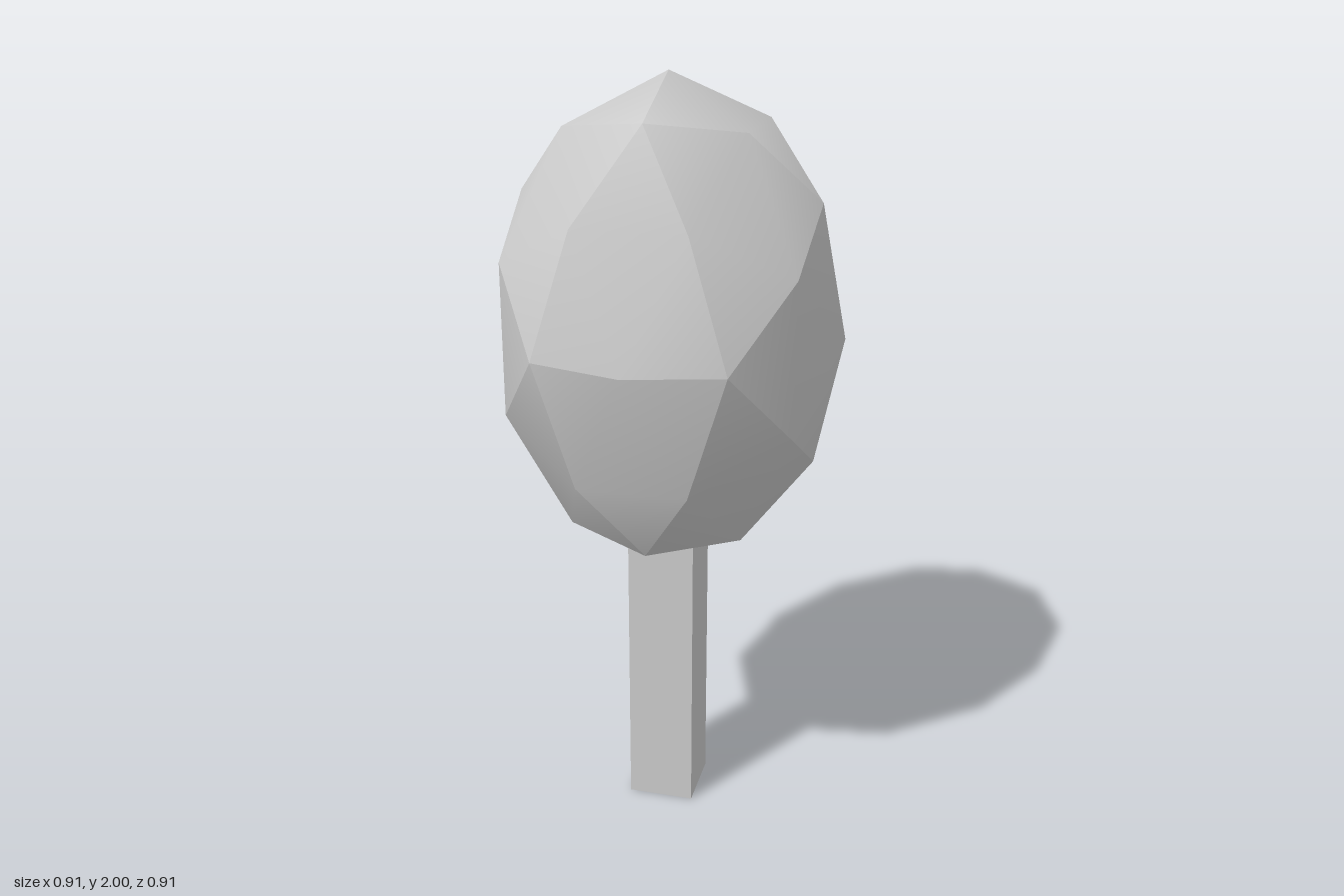
import * as THREE from 'three';
import { mergeVertices, mergeGeometries } from 'three/addons/utils/BufferGeometryUtils.js';

const VERTS_PER_PATCH = 12; // four triangles for each of the 20 icosahedron faces

// Once-subdivided icosahedron: smooth inside each big face, creased between them.
function crownGeometry(width, height) {
  const ico = new THREE.IcosahedronGeometry(1, 1);
  ico.rotateY(Math.PI / 2);
  ico.scale(width, height, width);
  const pos = ico.attributes.position.array;
  const patches = [];
  for (let i = 0; i < pos.length; i += VERTS_PER_PATCH * 3) {
    const patch = new THREE.BufferGeometry();
    patch.setAttribute('position', new THREE.BufferAttribute(pos.slice(i, i + VERTS_PER_PATCH * 3), 3));
    const welded = mergeVertices(patch, 1e-4);
    welded.computeVertexNormals();
    patches.push(welded);
  }
  return mergeGeometries(patches);
}

export function createModel() {
  const group = new THREE.Group();
  group.name = 'tree';
  const material = new THREE.MeshStandardMaterial({ color: 0xcccccc });

  // Leafy crown
  const crown = new THREE.Mesh(crownGeometry(0.453, 0.635), material);
  crown.name = 'crown';
  crown.position.y = 1.365;
  group.add(crown);

  // Square trunk, its top sunk into the crown
  const trunkHeight = 0.84;
  const trunk = new THREE.Mesh(new THREE.BoxGeometry(0.178, trunkHeight, 0.178), material);
  trunk.name = 'trunk';
  trunk.position.y = trunkHeight / 2;
  group.add(trunk);

  return group;
}
